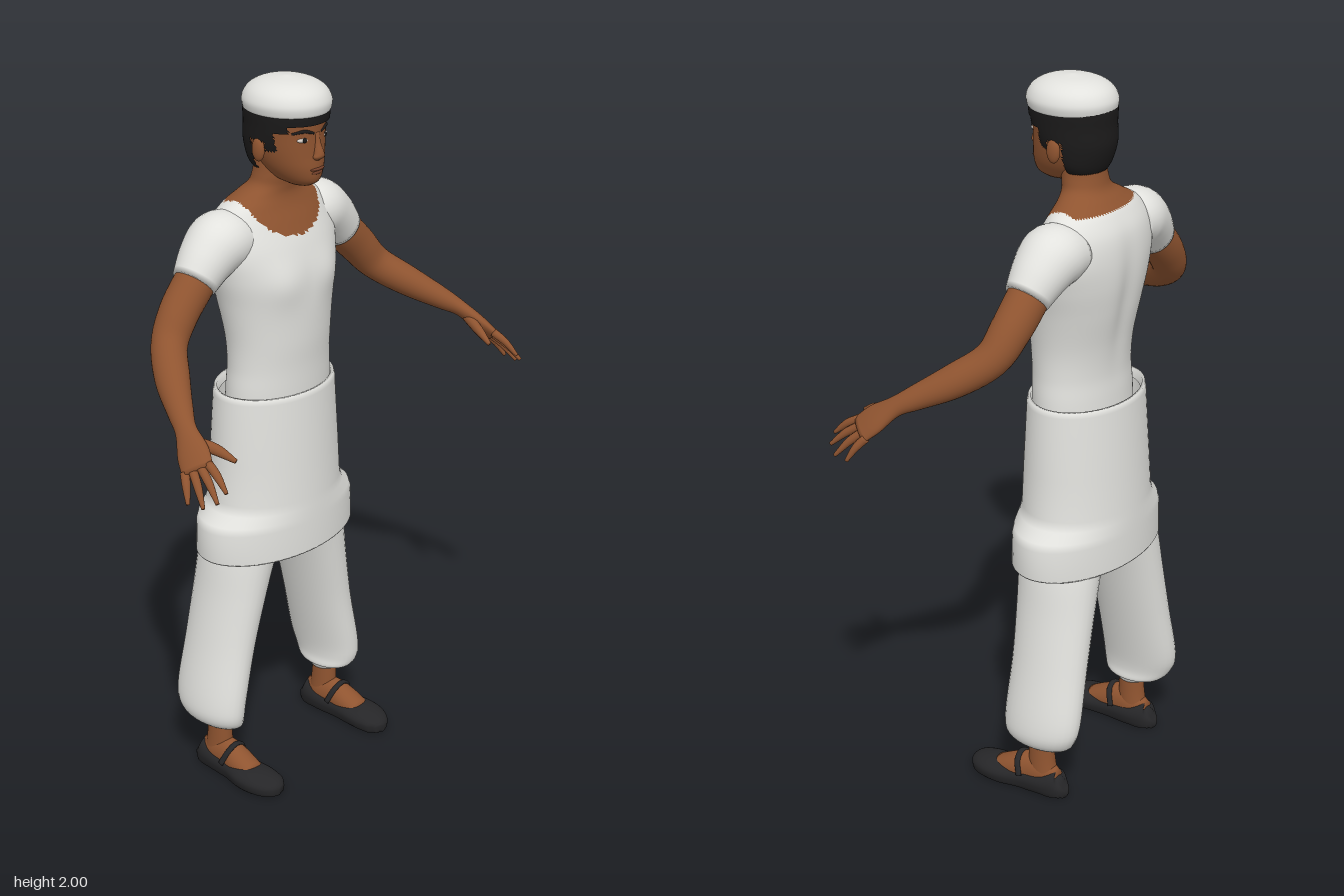
import * as THREE from 'three';

const mat = (name, color, double) => {
  const m = new THREE.MeshStandardMaterial({ color });
  m.name = name;
  if (double) m.side = THREE.DoubleSide;
  return m;
};

// Skin a row of elliptical sections [x, y, z, a, b].
// "ref" is the direction of radius a; "level" keeps every ring horizontal.
function loft(sections, { ref = [1, 0, 0], level = false, seg = 5, sides = 32, caps = true } = {}) {
  const path = new THREE.CatmullRomCurve3(sections.map(s => new THREE.Vector3(s[0], s[1], s[2])), false, 'catmullrom', 0.5);
  const size = new THREE.CatmullRomCurve3(sections.map(s => new THREE.Vector3(s[3], s[4], 0)), false, 'catmullrom', 0.5);
  const rows = (sections.length - 1) * seg, pos = [], idx = [];
  for (let i = 0; i <= rows; i++) {
    const k = i / rows, p = path.getPoint(k), r = size.getPoint(k);
    const t = level ? new THREE.Vector3(0, 1, 0)
      : path.getPoint(Math.min(1, k + 0.01)).sub(path.getPoint(Math.max(0, k - 0.01))).normalize();
    const u = new THREE.Vector3(...ref);
    u.addScaledVector(t, -u.dot(t)).normalize();
    const v = t.clone().cross(u);
    for (let j = 0; j < sides; j++) {
      const a = j / sides * Math.PI * 2;
      const q = p.clone().addScaledVector(u, Math.max(r.x, 0.001) * Math.cos(a)).addScaledVector(v, Math.max(r.y, 0.001) * Math.sin(a));
      pos.push(q.x, q.y, q.z);
    }
  }
  for (let i = 0; i < rows; i++) for (let j = 0; j < sides; j++) {
    const a = i * sides + j, b = i * sides + (j + 1) % sides;
    idx.push(a, b, a + sides, b, b + sides, a + sides);
  }
  if (caps) {
    const c = pos.length / 3, e = rows * sides, p0 = path.getPoint(0), p1 = path.getPoint(1);
    pos.push(p0.x, p0.y, p0.z, p1.x, p1.y, p1.z);
    for (let j = 0; j < sides; j++) {
      const n = (j + 1) % sides;
      idx.push(c, n, j, c + 1, e + j, e + n);
    }
  }
  const g = new THREE.BufferGeometry();
  g.setAttribute('position', new THREE.Float32BufferAttribute(pos, 3));
  g.setIndex(idx);
  g.computeVertexNormals();
  return g;
}

// Move every vertex by a rule.
function deform(g, rule) {
  const p = g.attributes.position, v = new THREE.Vector3();
  for (let i = 0; i < p.count; i++) {
    rule(v.fromBufferAttribute(p, i));
    p.setXYZ(i, v.x, v.y, v.z);
  }
  g.computeVertexNormals();
  return g;
}

// Divide a surface in two by a test on each triangle's centre.
function split(g, test) {
  const p = g.attributes.position, ix = g.index.array, parts = [[], []];
  for (let i = 0; i < ix.length; i += 3) {
    const t = [ix[i], ix[i + 1], ix[i + 2]];
    const c = f => t.reduce((s, n) => s + p[f](n), 0) / 3;
    parts[test(c('getX'), c('getY'), c('getZ')) ? 0 : 1].push(...t);
  }
  return parts.map(list => { const h = g.clone(); h.setIndex(list); return h; });
}

export function createModel() {
  const root = new THREE.Group();
  root.name = 'figure';
  const cloth = mat('white cloth', 0xe2e2de, true), skin = mat('brown skin', 0x8f5430);
  const hair = mat('black hair', 0x1b1a1a, true), leather = mat('black leather', 0x262628);
  const eyeWhite = mat('eye white', 0xd8d0c8), lip = mat('lip brown', 0x74402a);
  const add = (name, geo, m) => {
    const mesh = new THREE.Mesh(geo, m);
    mesh.name = name;
    root.add(mesh);
    return mesh;
  };
  const ball = (name, m, p, s) => {
    const b = add(name, new THREE.SphereGeometry(1, 20, 14), m);
    b.position.set(...p);
    b.scale.set(...s);
    return b;
  };

  // Torso and neck, with a scooped neckline
  const body = [
    [1.05, 0.17, 0.015, -0.215], [1.15, 0.168, 0.018, -0.21], [1.22, 0.163, 0.02, -0.207], [1.3, 0.166, 0.025, -0.215],
    [1.4, 0.182, 0.026, -0.235], [1.48, 0.202, 0.02, -0.246], [1.55, 0.215, 0.002, -0.246], [1.61, 0.2, -0.022, -0.236],
    [1.655, 0.165, -0.042, -0.213], [1.685, 0.115, -0.05, -0.188], [1.71, 0.078, -0.048, -0.166], [1.74, 0.067, -0.042, -0.157], [1.79, 0.062, -0.04, -0.15],
  ].map(([y, w, f, b]) => [0, y, (f + b) / 2, w, (f - b) / 2]);
  const torso = deform(loft(body, { level: true, seg: 7, sides: 96 }), v => {
    const bell = (d, w) => Math.exp(-((d / w) ** 2));
    if (v.z > -0.1) v.z += 0.011 * bell(Math.abs(v.x) - 0.09, 0.06) * bell(v.y - 1.46, 0.06);
    else v.z += 0.012 * bell(v.x, 0.035) * bell(v.y - 1.42, 0.15);
  });
  const [neck, shirt] = split(torso, (x, y, z) => {
    if (y > 1.69) return true;
    if (Math.abs(x) > 0.13) return false;
    return z > -0.11 ? y > 1.68 - 0.1 * Math.sqrt(1 - (x / 0.13) ** 2) : y > 1.667;
  });
  add('neck', neck, skin);
  add('shirt', shirt, cloth);

  // Wrapped apron: side flare near the hem, turned-in rim
  add('apron', loft([
    [0, 0.685, -0.112, 0.25, 0.15], [0, 0.675, -0.112, 0.262, 0.16], [0, 0.68, -0.112, 0.266, 0.163], [0, 0.765, -0.112, 0.265, 0.16],
    [0, 0.785, -0.112, 0.255, 0.159], [0, 0.81, -0.112, 0.222, 0.158], [0, 0.835, -0.112, 0.21, 0.156], [0, 0.95, -0.111, 0.203, 0.151],
    [0, 1.13, -0.11, 0.192, 0.141], [0, 1.145, -0.11, 0.188, 0.138], [0, 1.145, -0.11, 0.18, 0.13], [0, 1.12, -0.11, 0.176, 0.126],
  ], { level: true, seg: 1, sides: 64, caps: false }), cloth);

  // Head, nose and mouth
  add('head', loft([
    [0, 1.722, -0.018, 0.025, 0.04], [0, 1.738, -0.03, 0.048, 0.074], [0, 1.77, -0.044, 0.07, 0.094], [0, 1.81, -0.055, 0.084, 0.103],
    [0, 1.86, -0.062, 0.092, 0.109], [0, 1.91, -0.062, 0.095, 0.11], [0, 1.95, -0.062, 0.085, 0.1],
  ], { level: true, sides: 48 }), skin);
  add('nose', loft([
    [0, 1.795, 0.044, 0.008, 0.006], [0, 1.805, 0.05, 0.018, 0.013], [0, 1.818, 0.05, 0.014, 0.014], [0, 1.845, 0.044, 0.009, 0.01], [0, 1.87, 0.042, 0.01, 0.006],
  ], { level: true, sides: 20 }), skin);
  ball('upperLip', lip, [0, 1.772, 0.046], [0.026, 0.005, 0.008]);
  ball('lowerLip', lip, [0, 1.763, 0.044], [0.021, 0.006, 0.008]);

  // Hair, cut away around the face and ears
  const hairShell = loft([
    [0, 1.745, -0.105, 0.055, 0.042], [0, 1.78, -0.093, 0.084, 0.074], [0, 1.83, -0.076, 0.099, 0.106],
    [0, 1.88, -0.064, 0.104, 0.117], [0, 1.93, -0.062, 0.105, 0.118], [0, 1.96, -0.062, 0.085, 0.095],
  ], { level: true, seg: 8, sides: 80 });
  add('hair', split(hairShell, (x, y, z) =>
    y > (z > 0.015 ? 1.895 : z > -0.02 ? 1.875 : z > -0.05 ? 1.82 : z > -0.095 ? 1.845 : 1.76))[0], hair);
  add('cap', loft([
    [0, 1.914, -0.06, 0.104, 0.116], [0, 1.922, -0.06, 0.109, 0.121], [0, 1.945, -0.06, 0.111, 0.122],
    [0, 1.972, -0.06, 0.095, 0.105], [0, 1.991, -0.06, 0.06, 0.067], [0, 2, -0.06, 0.005, 0.005],
  ], { level: true, sides: 48 }), cloth);

  const spread = [0.53, -0.43, -0.74];
  for (const [side, s] of [['left', 1], ['right', -1]]) {
    const flip = list => list.map(([x, ...rest]) => [x * s, ...rest]);
    const limb = (name, list, m, opt = {}) =>
      add(side + name, loft(flip(list), { ...opt, ref: opt.ref ? flip([opt.ref])[0] : [1, 0, 0] }), m);

    // Ear, eye and brow
    ball(side + 'Ear', skin, [0.098 * s, 1.822, -0.07], [0.012, 0.032, 0.02]);
    ball(side + 'Eye', eyeWhite, [0.039 * s, 1.854, 0.031], [0.017, 0.007, 0.008]).rotation.y = 0.35 * s;
    ball(side + 'Iris', hair, [0.038 * s, 1.854, 0.036], [0.007, 0.007, 0.005]);
    limb('Brow', [[0.014, 1.87, 0.046, 0.003, 0.003], [0.04, 1.878, 0.037, 0.005, 0.005], [0.066, 1.872, 0.016, 0.003, 0.003]], hair, { ref: [0, 1, 0], sides: 10 });

    // Sleeve, arm and hand
    limb('Sleeve', [
      [0.13, 1.58, -0.132, 0.085, 0.072], [0.185, 1.578, -0.13, 0.088, 0.083], [0.235, 1.548, -0.128, 0.077, 0.074], [0.288, 1.496, -0.124, 0.06, 0.06],
    ], cloth, { ref: [0, 0, 1] });
    limb('Arm', [
      [0.25, 1.53, -0.125, 0.05, 0.05], [0.285, 1.495, -0.125, 0.055, 0.055], [0.35, 1.43, -0.12, 0.053, 0.053],
      [0.405, 1.365, -0.1, 0.048, 0.047], [0.465, 1.31, -0.03, 0.046, 0.042], [0.52, 1.262, 0.052, 0.034, 0.03],
      [0.548, 1.235, 0.098, 0.029, 0.021], [0.572, 1.197, 0.145, 0.043, 0.019], [0.592, 1.165, 0.18, 0.043, 0.014],
    ], skin, { ref: spread });
    const tips = [[0.585, 1.13, 0.272], [0.61, 1.108, 0.265], [0.63, 1.092, 0.235], [0.638, 1.092, 0.19]];
    tips.forEach((tip, i) => {
      const k = -0.033 + i * 0.022;
      const base = [0.589, 1.169, 0.174].map((c, n) => c + spread[n] * k);
      const mid = base.map((c, n) => (c + tip[n]) / 2 + (n === 1 ? 0.006 : 0));
      limb('Finger' + (i + 1), [[...base, 0.012, 0.012], [...mid, 0.011, 0.01], [...tip, 0.005, 0.005]], skin, { ref: spread, sides: 12 });
    });
    limb('Thumb', [[0.55, 1.215, 0.12, 0.015, 0.014], [0.525, 1.2, 0.18, 0.015, 0.013], [0.508, 1.178, 0.232, 0.006, 0.006]], skin, { ref: spread, sides: 12 });

    // Baggy trouser leg gathered at the ankle
    limb('TrouserLeg', [
      [0.222, 0.152, -0.125, 0.035, 0.05], [0.228, 0.16, -0.125, 0.05, 0.085], [0.242, 0.19, -0.13, 0.062, 0.108],
      [0.237, 0.25, -0.136, 0.068, 0.118], [0.203, 0.4, -0.134, 0.073, 0.115], [0.168, 0.55, -0.128, 0.082, 0.117],
      [0.136, 0.68, -0.122, 0.095, 0.12], [0.1, 0.8, -0.115, 0.1, 0.12], [0.085, 0.95, -0.11, 0.09, 0.11], [0.08, 1.08, -0.105, 0.085, 0.1],
    ], cloth, { level: true });
    limb('Cuff', [[0.222, 0.142, -0.122, 0.033, 0.04], [0.222, 0.165, -0.122, 0.034, 0.042]], cloth, { level: true, seg: 1 });

    // Ankle, foot and strapped shoe
    limb('Ankle', [[0.222, 0.04, -0.128, 0.034, 0.045], [0.222, 0.1, -0.122, 0.031, 0.04], [0.222, 0.17, -0.12, 0.03, 0.036]], skin, { level: true });
    limb('Foot', [
      [0.222, 0.045, -0.175, 0.02, 0.03], [0.222, 0.05, -0.13, 0.035, 0.05], [0.224, 0.05, -0.08, 0.037, 0.053],
      [0.227, 0.045, -0.035, 0.04, 0.04], [0.228, 0.035, 0.02, 0.035, 0.022],
    ], skin);
    const shoe = loft(flip([
      [0.222, 0.04, -0.194, 0.012, 0.02], [0.222, 0.034, -0.18, 0.033, 0.042], [0.222, 0.032, -0.13, 0.043, 0.038], [0.226, 0.028, -0.06, 0.044, 0.034],
      [0.231, 0.026, 0, 0.054, 0.032], [0.228, 0.024, 0.05, 0.053, 0.03], [0.218, 0.02, 0.09, 0.038, 0.022], [0.212, 0.015, 0.108, 0.014, 0.01],
    ]));
    add(side + 'Shoe', deform(shoe, v => { v.y = Math.max(0, v.y < 0.02 ? v.y * 2 - 0.02 : v.y); }), leather);
    limb('ShoeStrap', [[0.181, 0.045, -0.075, 0.009, 0.005], [0.196, 0.083, -0.06, 0.009, 0.005], [0.226, 0.099, -0.055, 0.009, 0.005],
      [0.255, 0.083, -0.06, 0.009, 0.005], [0.27, 0.045, -0.075, 0.009, 0.005]], leather, { ref: [0, 0, 1], sides: 10 });
  }
  return root;
}
